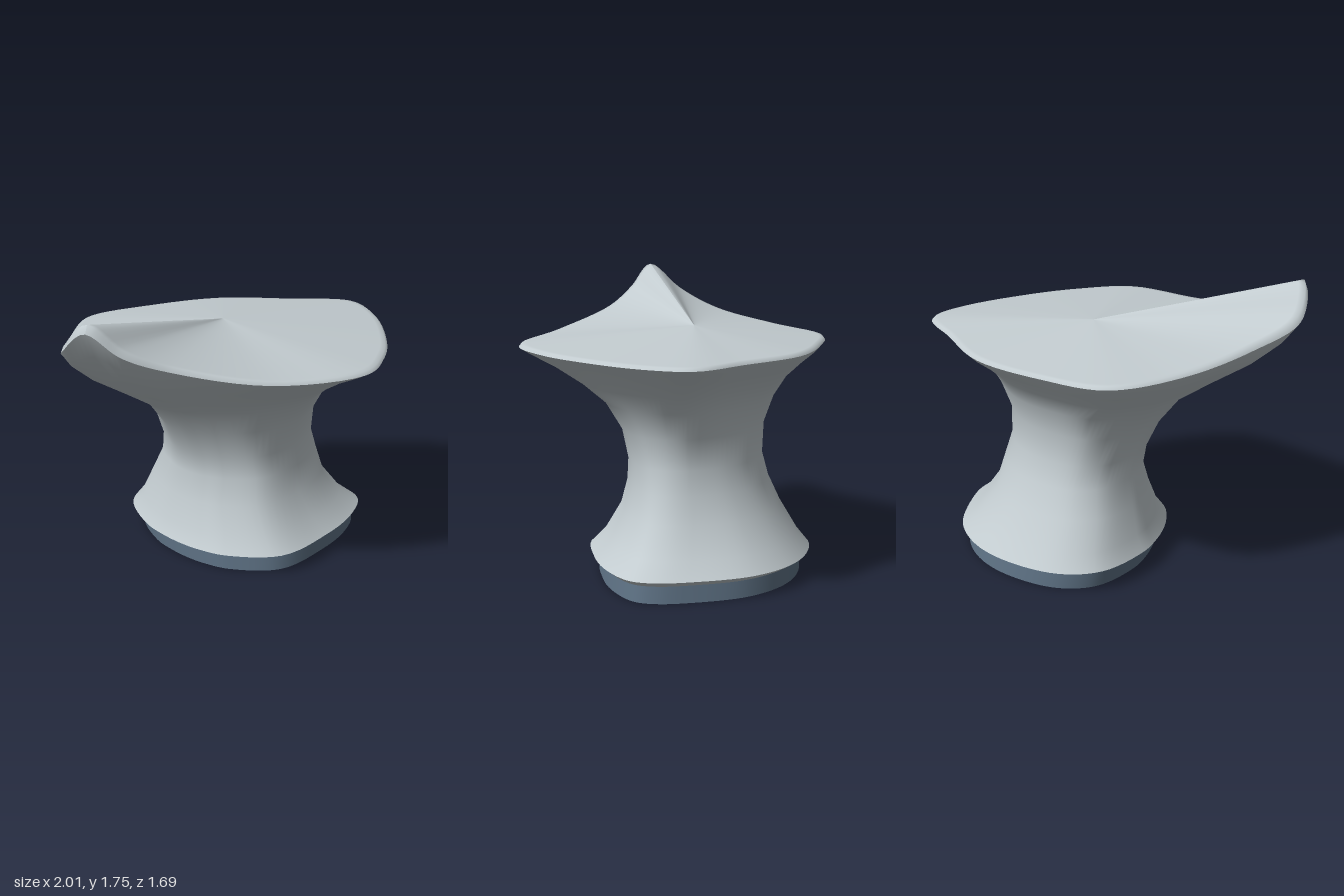
import * as THREE from 'three';

const COLS = 96;

// Matching outlines, both starting at the raised corner: [x, z] and [x, rim height, z]
const FOOT = [[-.5, .4], [-.6, .26], [-.68, .1], [-.73, -.25], [-.6, -.47], [-.3, -.62], [0, -.655], [.3, -.57],
  [.58, -.33], [.7, -.17], [.73, -.03], [.62, .2], [.42, .42], [.08, .655], [-.25, .6], [-.4, .5]];
const RIM = [[-.88, 1.74, .78], [-1, 1.58, .62], [-.965, 1.46, .3], [-.92, 1.385, -.15], [-.78, 1.355, -.56],
  [-.4, 1.345, -.74], [.08, 1.34, -.845], [.55, 1.34, -.75], [.92, 1.34, -.65], [1, 1.34, -.38],
  [.95, 1.345, .1], [.85, 1.35, .42], [.66, 1.36, .71], [.1, 1.385, .84], [-.43, 1.49, .815], [-.7, 1.6, .82]];

// Evenly indexed points along a smooth closed curve
function sample(points) {
  const curve = new THREE.CatmullRomCurve3(points, true, 'centripetal');
  return Array.from({ length: COLS }, (_, i) => curve.getPoint(i / COLS));
}
const foot = sample(FOOT.map(([x, z]) => new THREE.Vector3(x / .73, 0, z / .655)));
const rim = sample(RIM.map(p => new THREE.Vector3(...p)));

// Ring blended between foot and rim outline, fitted to x and z limits; lift follows the rim's rise
function ring(y, x0, x1, z0, z1, blend = 0, lift = 0) {
  return foot.map((f, i) => {
    const r = rim[i];
    const u = THREE.MathUtils.lerp(f.x, r.x, blend);
    const v = THREE.MathUtils.lerp(f.z, r.z / .845, blend);
    return new THREE.Vector3((x0 + x1) / 2 + u * (x1 - x0) / 2, y + lift * (r.y - 1.34),
      (z0 + z1) / 2 + v * (z1 - z0) / 2);
  });
}

// Skin over a stack of rings; an open seam keeps a crease at the first column
function loft(rows, seam = false) {
  const width = seam ? COLS + 1 : COLS;
  const pos = [], index = [];
  for (const row of rows) {
    for (let c = 0; c < width; c++) pos.push(...row[c % COLS].toArray());
  }
  for (let r = 0; r < rows.length - 1; r++) {
    for (let c = 0; c < COLS; c++) {
      const a = r * width + c, b = r * width + (c + 1) % width;
      index.push(a, a + width, b, b, a + width, b + width);
    }
  }
  const g = new THREE.BufferGeometry();
  g.setAttribute('position', new THREE.Float32BufferAttribute(pos, 3));
  g.setIndex(index);
  g.computeVertexNormals();
  return g;
}

export function createModel() {
  const group = new THREE.Group();
  const shell = new THREE.MeshStandardMaterial({ color: 0xc2cbcf, side: THREE.DoubleSide });
  shell.name = 'pale grey shell';
  const blue = new THREE.MeshStandardMaterial({ color: 0x5f7386, side: THREE.DoubleSide });
  blue.name = 'slate blue base';
  const add = (name, geometry, material) => {
    const mesh = new THREE.Mesh(geometry, material);
    mesh.name = name;
    group.add(mesh);
  };

  // Open base band
  add('baseBand', loft([
    ring(0, -.48, .86, -.79, .40),
    ring(.1, -.49, .85, -.78, .39),
  ]), blue);

  // Undercut below the flared foot
  const footEdge = ring(.13, -.55, .9, -.84, .47);
  add('footUndercut', loft([ring(.1, -.5, .86, -.79, .41), footEdge]), shell);

  // Hollow waisted body, flaring to the seat edge
  const edge = ring(1.335, -1, 1, -.845, .845, 1, .92);
  add('body', loft([
    footEdge,
    ring(.22, -.49, .78, -.76, .39, .02),
    ring(.39, -.43, .65, -.64, .30, .08),
    ring(.55, -.37, .60, -.57, .25, .16),
    ring(.69, -.37, .56, -.52, .25, .25),
    ring(.87, -.43, .57, -.51, .29, .38),
    ring(1.03, -.53, .65, -.56, .38, .52, .03),
    ring(1.14, -.68, .74, -.62, .52, .68, .12),
    ring(1.24, -.85, .86, -.73, .67, .85, .32),
    ring(1.30, -.95, .95, -.81, .78, .96, .62),
    edge,
  ]), shell);

  // Seat: rounded lip, then straight slopes up to the inner peak, creased to the raised corner
  const peak = new THREE.Vector3(-.01, 1.46, -.09);
  const lip = rim.map(p => new THREE.Vector3(p.x * .985, p.y + .012, p.z * .985));
  const slope = [0.03, .2, .4, .6, .8, 1].map(t => lip.map(p => p.clone().lerp(peak, t)));
  add('seat', loft([edge, lip, ...slope], true), shell);

  return group;
}
